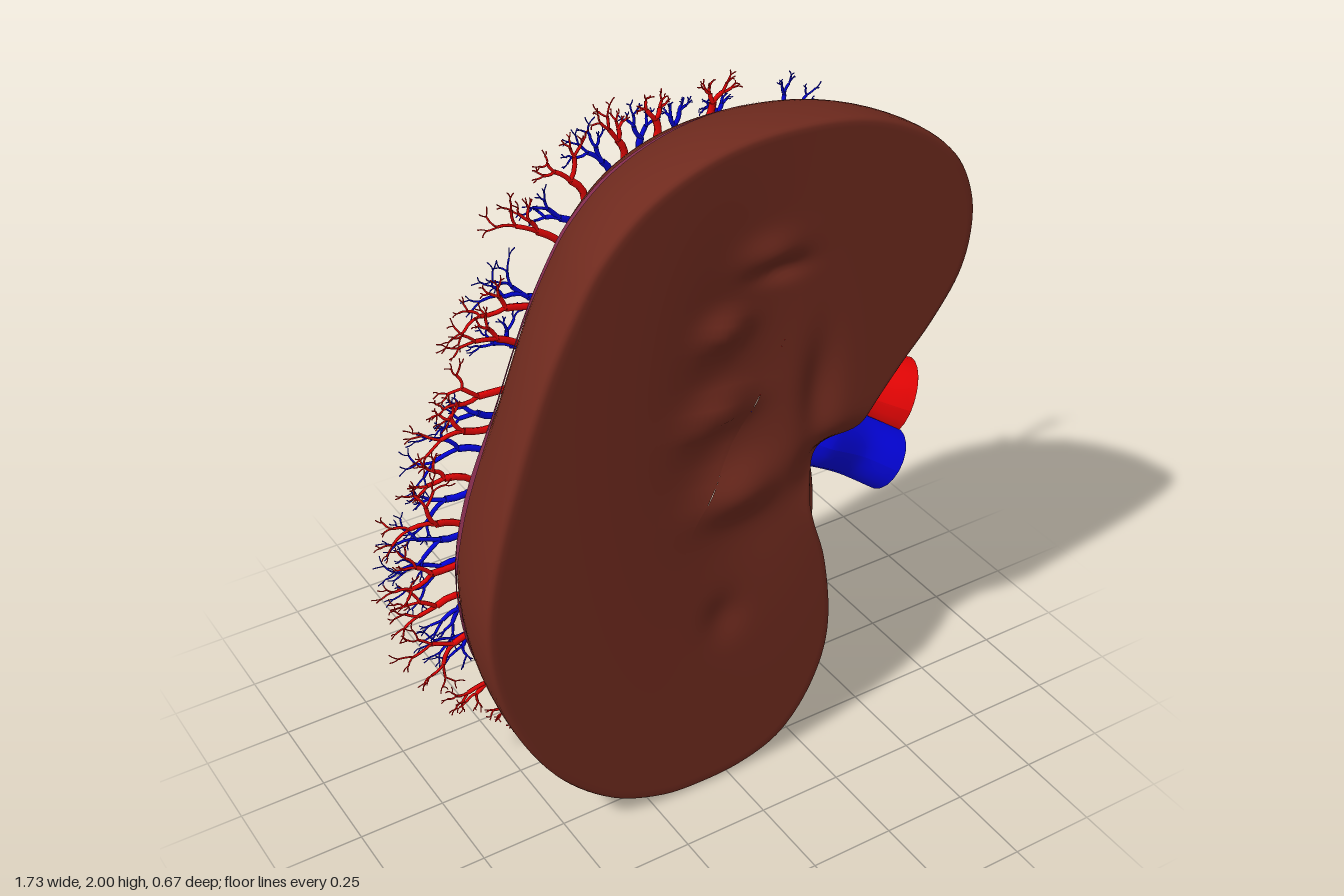
import * as THREE from 'three';
import { mergeGeometries } from 'three/addons/utils/BufferGeometryUtils.js';

const V = (x, y, z) => new THREE.Vector3(x, y, z);
const mat = (name, color, side = THREE.FrontSide) =>
  Object.assign(new THREE.MeshStandardMaterial({ color, side }), { name });

// Outline of the cut face, clockwise from the top: x, y, position along the spine
const outline = new THREE.CatmullRomCurve3([
  [0.13, 2, 0], [0.35, 1.975, 0], [0.53, 1.9, 0], [0.66, 1.79, 0], [0.72, 1.67, 0],
  [0.73, 1.55, 0], [0.7, 1.43, 0.03], [0.62, 1.31, 0.1], [0.53, 1.21, 0.22], [0.45, 1.11, 0.38],
  [0.4, 1.02, 0.5], [0.32, 0.95, 0.6], [0.265, 0.87, 0.7], [0.27, 0.79, 0.8], [0.31, 0.65, 0.92],
  [0.335, 0.45, 1], [0.32, 0.3, 1], [0.26, 0.16, 1], [0.17, 0.06, 1], [0.05, 0.015, 1],
  [-0.08, 0.005, 1], [-0.22, 0.02, 1], [-0.38, 0.09, 1], [-0.53, 0.23, 1], [-0.64, 0.41, 1],
  [-0.71, 0.6, 1], [-0.735, 0.8, 0.93], [-0.71, 1, 0.73], [-0.64, 1.25, 0.4], [-0.55, 1.5, 0.12],
  [-0.46, 1.68, 0], [-0.38, 1.8, 0], [-0.25, 1.91, 0], [-0.07, 1.98, 0],
].map(p => V(...p)), true, 'catmullrom', 0.5);
const COUNT = 34;
const edge = k => outline.getPoint((((k % COUNT) + COUNT) % COUNT) / COUNT);

// Ridge of the domed back, top to bottom
const spine = new THREE.CatmullRomCurve3([
  V(0.2, 1.5, -0.26), V(0.08, 1.22, -0.263), V(-0.1, 0.95, -0.305), V(-0.18, 0.73, -0.335)]);
const ridge = p => spine.getPoint(THREE.MathUtils.clamp(p.z, 0, 1));

// Hollows and bumps of the cut face: x, y, width, height, depth
const bumps = [
  [0.03, 1.2, 0.19, 0.46, -0.045], [0.36, 0.95, 0.11, 0.08, -0.1], [0.27, 1.2, 0.05, 0.16, -0.025],
  [0.1, 1.67, 0.08, 0.05, 0.02], [-0.03, 1.48, 0.07, 0.05, 0.035], [-0.04, 1.24, 0.1, 0.05, 0.045],
  [0.02, 0.98, 0.12, 0.08, 0.05], [0.13, 1.61, 0.07, 0.03, -0.02], [-0.02, 0.58, 0.06, 0.07, -0.015],
];
const relief = (x, y) => bumps.reduce((sum, [cx, cy, w, h, d]) =>
  sum + d * Math.exp(-(((x - cx) / w) ** 2) - ((y - cy) / h) ** 2), 0);

// Point on the domed back at outline index k and angle a (0 at the rim, PI/2 on the ridge)
const FULLNESS = 1.1;
function skin(k, a, grow = 1) {
  const p = edge(k), s = ridge(p), c = Math.cos(a) * grow, depth = Math.sin(a) ** FULLNESS;
  const x = s.x + (p.x - s.x) * c, y = s.y + (p.y - s.y) * c;
  return V(x, y, 0.3 - (0.3 - s.z) * depth + relief(x, y) * (1 - depth));
}
// The same, but at a given depth z
function skinAt(k, z, grow) {
  const depth = Math.min(1, (0.3 - z) / (0.3 - ridge(edge(k)).z));
  return skin(k, Math.asin(depth ** (1 / FULLNESS)), grow);
}

// Surface from rows of points
function loft(rows, closed) {
  const n = rows[0].length, index = [];
  for (let j = 0; j < rows.length - 1; j++)
    for (let i = 0; i < (closed ? n : n - 1); i++) {
      const a = j * n + i, b = j * n + ((i + 1) % n);
      index.push(a, b, b + n, a, b + n, a + n);
    }
  const g = new THREE.BufferGeometry().setFromPoints(rows.flat());
  g.setIndex(index);
  g.computeVertexNormals();
  return g;
}

function bodyGeometry() {
  const N = 204, rows = [];
  const ring = f => rows.push(Array.from({ length: N }, (_, i) => f((i / N) * COUNT)));
  const face = (r, z) => ring(k => {
    const p = edge(k), s = ridge(p);
    const x = s.x + (p.x - s.x) * r, y = s.y + (p.y - s.y) * r;
    return V(x, y, z + relief(x, y));
  });
  for (let j = 0; j <= 40; j++) face((j / 40) * 0.975, 0.322);
  face(0.99, 0.318);
  face(0.997, 0.31);
  for (let j = 0; j <= 28; j++) ring(k => skin(k, (j / 28) * Math.PI / 2));
  return loft(rows, true);
}

// Thin tapering band lying on the back, from outline index k0 down to k1
function bandGeometry(k0, k1, width, skew) {
  const rows = [];
  for (let j = 0; j <= 80; j++) {
    const t = j / 80, k = k0 + (k1 - k0) * t;
    const w = width * Math.max(0, Math.sin(Math.PI * t ** skew)) ** 0.55;
    rows.push([0, 1, 2, 3, 4].map(i => skinAt(k, 0.088 - (w * i) / 4, 1.012)));
  }
  return loft(rows, false);
}

// Tube whose radius follows a list of values
function taperTube(points, radii, scale = 1, segs = 28, sides = 20) {
  const path = new THREE.CatmullRomCurve3(points);
  const g = new THREE.TubeGeometry(path, segs, 1, sides);
  const pos = g.attributes.position, v = V(0, 0, 0);
  for (let i = 0; i <= segs; i++) {
    const c = path.getPointAt(i / segs), f = (i / segs) * (radii.length - 1);
    const lo = Math.min(Math.floor(f), radii.length - 2);
    const r = scale * THREE.MathUtils.lerp(radii[lo], radii[lo + 1], f - lo);
    for (let j = 0; j <= sides; j++) {
      const n = i * (sides + 1) + j;
      v.fromBufferAttribute(pos, n).sub(c).multiplyScalar(r).add(c);
      pos.setXYZ(n, v.x, v.y, v.z);
    }
  }
  g.computeVertexNormals();
  return g;
}

// Hollow vessel with an open, rimmed end
function vessel(points, radii) {
  const path = new THREE.CatmullRomCurve3(points), r = radii[radii.length - 1];
  const rim = new THREE.RingGeometry(r * 0.76, r, 20);
  rim.applyQuaternion(new THREE.Quaternion().setFromUnitVectors(V(0, 0, 1), path.getTangentAt(1)));
  rim.translate(...path.getPointAt(1).toArray());
  return mergeGeometries([taperTube(points, radii), taperTube(points, radii, 0.76), rim]);
}

// Flattened drain tube with a rounded lower end
function ureterGeometry() {
  const tube = taperTube(
    [V(0.27, 0.93, 0), V(0.35, 0.8, 0), V(0.388, 0.5, 0), V(0.385, 0.3, 0), V(0.382, 0.165, 0)],
    [0.05, 0.072, 0.07, 0.063, 0.058, 0.055, 0.053]);
  const tip = new THREE.SphereGeometry(0.053, 20, 12).translate(0.382, 0.168, 0);
  return mergeGeometries([tube, tip]).scale(1, 1, 0.72).translate(0, 0, 0.052);
}

// Branching capillaries evenly spaced along the outer edge, in a plane of depth z
function capillaries(k0, k1, spacing, z, seed) {
  const parts = [];
  const rand = () => (seed = (seed * 16807) % 2147483647) / 2147483647 - 0.5;
  const grow = (p, angle, len, r, depth) => {
    const at = (d, a) => V(p.x + Math.cos(a) * d, p.y + Math.sin(a) * d, p.z + rand() * 0.012);
    const tip = at(len, angle);
    const curve = new THREE.QuadraticBezierCurve3(p, at(len * 0.5, angle + rand() * 1.2), tip);
    parts.push(new THREE.TubeGeometry(curve, 3, r, 5));
    if (depth === 0) return;
    const lean = rand() * 0.6;
    for (const side of [-1, 1])
      grow(tip, angle + lean + side * (0.45 + rand() * 0.5), len * (0.66 + rand() * 0.4), r * 0.64, depth - 1);
  };
  let k = k0;
  while (k > k1) {
    const d = edge(k + 0.05).sub(edge(k - 0.05)).setZ(0).normalize();
    const reach = 0.04 + 0.05 * Math.abs(d.y);
    grow(skinAt(k, z, 0.98), Math.atan2(d.x, -d.y) + rand() * 0.6, reach, 0.01, 4);
    const speed = skinAt(k, z).distanceTo(skinAt(k - 0.1, z)) / 0.1;
    k -= (spacing * (1 + rand() * 0.6)) / speed;
  }
  return mergeGeometries(parts);
}

export function createModel() {
  const group = new THREE.Group();
  const brown = mat('tissueBrown', 0x6f2a1e);
  const purple = mat('bandPurple', 0x882e50, THREE.DoubleSide);
  const red = mat('arteryRed', 0xec0505, THREE.DoubleSide);
  const blue = mat('veinBlue', 0x0404e2, THREE.DoubleSide);
  const add = (name, geometry, material) => {
    const mesh = new THREE.Mesh(geometry, material);
    mesh.name = name;
    group.add(mesh);
  };

  add('body', bodyGeometry(), brown);
  add('outerBand', bandGeometry(34.4, 16.8, 0.1, 1.7), purple);
  add('innerBand', bandGeometry(7.3, 3.4, 0.05, 0.8), purple);
  add('ureter', ureterGeometry(), brown);

  // Main vessels and their side branches
  add('artery', vessel(
    [V(0.34, 1.03, -0.02), V(0.5, 0.965, -0.04), V(0.67, 0.895, -0.05), V(0.787, 0.845, 0.002)],
    [0.055, 0.085, 0.095, 0.115]), red);
  add('arteryBranch', taperTube(
    [V(0.5, 0.95, -0.02), V(0.42, 1.06, -0.025), V(0.38, 1.2, -0.04)], [0.07, 0.055, 0.02]), red);
  add('vein', vessel(
    [V(0.3, 0.95, 0.06), V(0.42, 0.88, 0.065), V(0.57, 0.785, 0.05), V(0.682, 0.71, 0.085)],
    [0.04, 0.09, 0.092, 0.094]), blue);
  add('veinUpperBranch', taperTube(
    [V(0.42, 0.9, 0.02), V(0.5, 1, -0.03), V(0.525, 1.1, -0.05), V(0.49, 1.22, -0.075), V(0.4, 1.37, -0.1)],
    [0.04, 0.036, 0.034, 0.034, 0.02]), blue);
  add('veinLowerBranch', taperTube(
    [V(0.46, 0.86, 0.04), V(0.36, 0.88, -0.04), V(0.24, 0.9, -0.12)], [0.06, 0.04, 0.02]), blue);

  add('veinCapillaries', capillaries(36.1, 18.2, 0.135, -0.15, 41), blue);
  add('arteryCapillaries', capillaries(34, 20, 0.135, -0.05, 977), red);
  return group;
}
